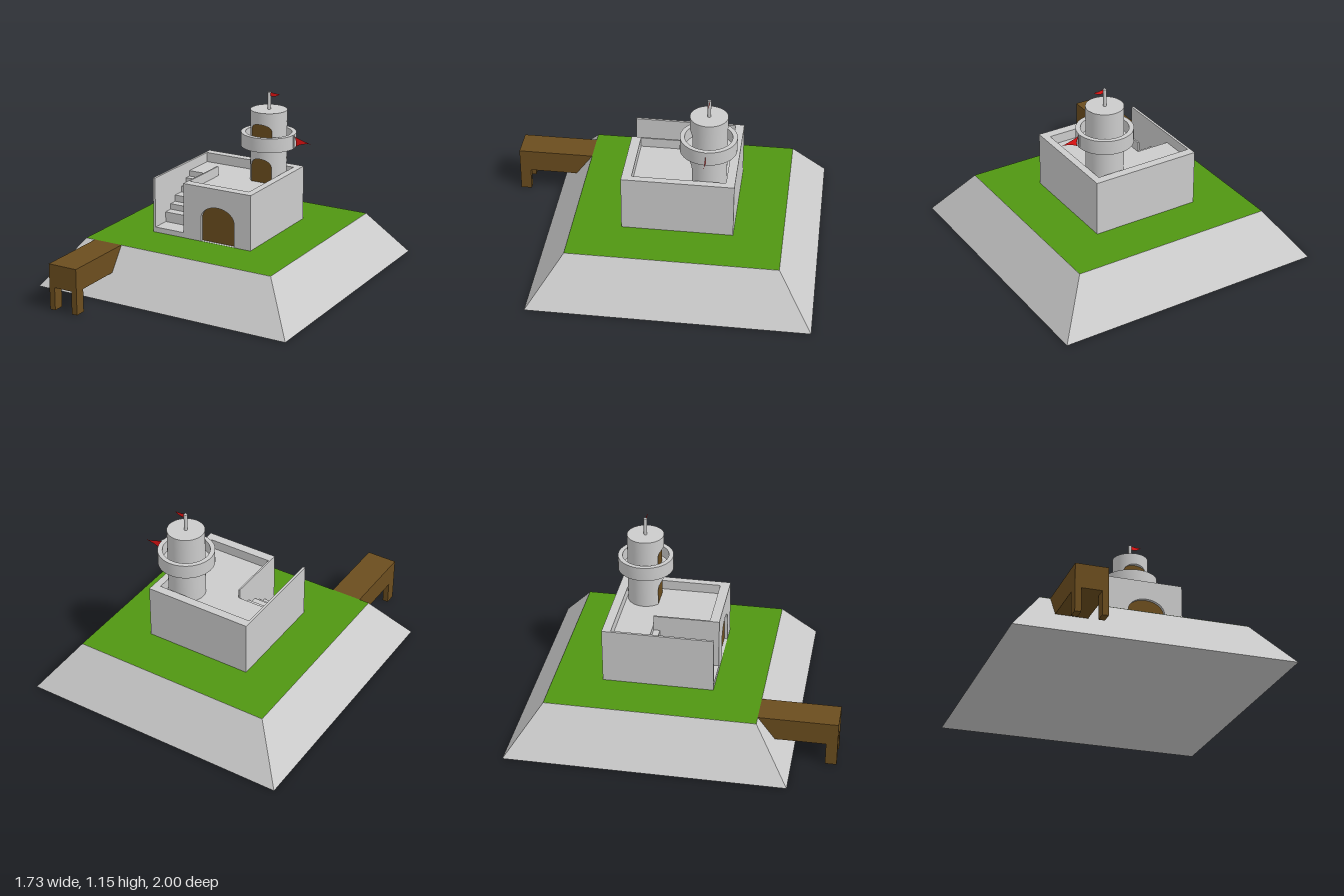
import * as THREE from 'three';
import { toCreasedNormals } from 'three/addons/utils/BufferGeometryUtils.js';
import { ParametricGeometry } from 'three/addons/geometries/ParametricGeometry.js';

const mat = (color) => new THREE.MeshStandardMaterial({ color, side: THREE.DoubleSide });
const stone = mat(0xcccccc);
const wood = mat(0x6b4d1e);
const grass = mat(0x509612);
const red = mat(0xf01414);

const GROUND = 0.29, FLOOR = 0.583, WALL_TOP = 0.645;

function add(parent, name, geometry, material = stone) {
  const mesh = new THREE.Mesh(geometry, material);
  mesh.name = name;
  parent.add(mesh);
  return mesh;
}

// Box given by its two extreme corners
function block(parent, name, [x0, x1], [y0, y1], [z0, z1], material) {
  const g = new THREE.BoxGeometry(x1 - x0, y1 - y0, z1 - z0);
  g.translate((x0 + x1) / 2, (y0 + y1) / 2, (z0 + z1) / 2);
  return add(parent, name, g, material);
}

// Arched outline: straight sides up to spring, then a half ellipse to the crown
function archPath(path, cx, half, bottom, spring, crown) {
  path.moveTo(cx - half, bottom);
  path.lineTo(cx + half, bottom);
  path.lineTo(cx + half, spring);
  path.absellipse(cx, spring, half, crown - spring, 0, Math.PI, false);
  path.lineTo(cx - half, bottom);
  return path;
}

function buildMound(root) {
  const c = -0.135;
  const mound = new THREE.CylinderGeometry(0.65 * Math.SQRT2, 0.865 * Math.SQRT2, GROUND, 4);
  mound.rotateY(Math.PI / 4).translate(0, GROUND / 2, c);
  add(root, 'mound', toCreasedNormals(mound, 0.3));
  const lawn = new THREE.PlaneGeometry(1.3, 1.3);
  lawn.rotateX(-Math.PI / 2).translate(0, GROUND + 0.001, c);
  add(root, 'lawn', lawn, grass);
}

function buildJetty(root) {
  const jetty = new THREE.Group();
  jetty.name = 'jetty';
  root.add(jetty);
  // Deck profile along z, cut to the slope of the mound
  const profile = new THREE.Shape(
    [[0.515, 0.291], [0.6225, 0.145], [1, 0.145], [1, 0.291]].map((p) => new THREE.Vector2(...p)));
  const deck = new THREE.ExtrudeGeometry(profile, { depth: 0.195, bevelEnabled: false });
  deck.rotateY(-Math.PI / 2).translate(-0.39, 0, 0);
  add(jetty, 'deck', deck, wood);
  for (const x of [-0.585, -0.427]) block(jetty, 'jettyLeg', [x, x + 0.037], [0, 0.145], [0.93, 1], wood);
}

function buildKeep(root) {
  const keep = new THREE.Group();
  keep.name = 'keep';
  root.add(keep);
  const full = [GROUND, WALL_TOP], low = [GROUND, FLOOR];
  block(keep, 'terrace', [-0.12, 0.3], low, [-0.425, 0.15]);
  block(keep, 'landing', [-0.335, -0.12], low, [-0.425, -0.2]);
  block(keep, 'stairWall', [-0.35, -0.335], full, [-0.48, 0.21]);
  block(keep, 'backWall', [-0.335, 0.345], full, [-0.48, -0.425]);
  block(keep, 'sideWall', [0.3, 0.345], full, [-0.425, 0.21]);
  block(keep, 'stairParapet', [-0.13, -0.12], full, [-0.2, 0.21]);

  // Front wall with arched gateway
  const wall = new THREE.Shape();
  wall.moveTo(-0.12, GROUND).lineTo(0.3, GROUND).lineTo(0.3, WALL_TOP).lineTo(-0.12, WALL_TOP);
  const gate = [0.1125, 0.1175, GROUND + 0.002, 0.44, 0.525];
  wall.holes.push(archPath(new THREE.Path(), ...gate));
  const front = new THREE.ExtrudeGeometry(wall, { depth: 0.06, bevelEnabled: false, curveSegments: 16 });
  add(keep, 'frontWall', front.translate(0, 0, 0.15));
  const door = new THREE.ShapeGeometry(archPath(new THREE.Shape(), ...gate), 16);
  add(keep, 'gateDoor', door.translate(0, 0, 0.19), wood);

  // Stairs: each entry is a tread height and the z of its front edge
  const steps = [[0.324, 0.21], [0.389, 0.09], [0.426, 0.03], [0.468, -0.025],
    [0.505, -0.1], [0.546, -0.16]];
  for (const [y, z] of steps) block(keep, 'step', [-0.335, -0.13], [GROUND, y], [-0.2, z]);
}

function buildTower(root) {
  const tower = new THREE.Group();
  tower.name = 'tower';
  tower.position.set(0.185, 0, -0.305);
  root.add(tower);
  const r = 0.115, half = 0.072, top = 1.04;
  const a = Math.asin(half / r), recess = Math.sqrt(r * r - half * half);

  // Round wall, open at the front where the doorways are
  const shell = new THREE.CylinderGeometry(r, r, top - FLOOR, 48, 1, true, a, 2 * Math.PI - 2 * a);
  add(tower, 'towerWall', shell.translate(0, (top + FLOOR) / 2, 0));
  add(tower, 'towerRoof', new THREE.CircleGeometry(r, 64).rotateX(-Math.PI / 2).translate(0, top, 0));

  // Two arched doorways with curved wall above each
  const doorways = [
    { bottom: FLOOR, spring: 0.69, crown: 0.743, above: 0.82 },
    { bottom: 0.82, spring: 0.925, crown: 0.965, above: top },
  ];
  for (const { bottom, spring, crown, above } of doorways) {
    const arch = (x) => spring + (crown - spring) * Math.sqrt(Math.max(0, 1 - (x / half) ** 2));
    const angle = (u) => (2 * u - 1) * a;
    const wall = new ParametricGeometry((u, v, p) => {
      const x = r * Math.sin(angle(u));
      p.set(x, THREE.MathUtils.lerp(arch(x), above, v), r * Math.cos(angle(u)));
    }, 16, 1);
    add(tower, 'wallOverDoor', wall);
    const soffit = new ParametricGeometry((u, v, p) => {
      const x = r * Math.sin(angle(u));
      p.set(x, arch(x), THREE.MathUtils.lerp(r * Math.cos(angle(u)), recess, v));
    }, 16, 1);
    add(tower, 'doorSoffit', soffit);
    const door = new THREE.ShapeGeometry(
      archPath(new THREE.Shape(), 0, half, bottom, spring, crown), 16);
    add(tower, 'towerDoor', door.translate(0, 0, recess), wood);
  }

  // Ring balcony with a raised rim
  const rim = [[0.09, 0.805], [0.174, 0.805], [0.174, 0.895], [0.145, 0.895], [0.145, 0.82], [0.09, 0.82]]
    .map((p) => new THREE.Vector2(...p));
  add(tower, 'balcony', toCreasedNormals(new THREE.LatheGeometry(rim, 48), 0.6));

  // Flagpole and the two pennants
  const pole = new THREE.CylinderGeometry(0.011, 0.011, 0.11, 16);
  add(tower, 'flagpole', pole.translate(0, top + 0.055, 0));
  const flag = new THREE.Shape();
  flag.moveTo(0.011, 1.124);
  flag.quadraticCurveTo(0.045, 1.118, 0.075, 1.145);
  flag.quadraticCurveTo(0.04, 1.142, 0.011, 1.15);
  add(tower, 'topFlag', new THREE.ShapeGeometry(flag), red);
  block(tower, 'pennantMount', [0.17, 0.18], [0.81, 0.895], [-0.005, 0.005]);
  const pennant = new THREE.Shape();
  pennant.moveTo(0.18, 0.888);
  pennant.quadraticCurveTo(0.23, 0.868, 0.295, 0.854);
  pennant.quadraticCurveTo(0.23, 0.85, 0.19, 0.822);
  pennant.quadraticCurveTo(0.2, 0.858, 0.18, 0.888);
  add(tower, 'sidePennant', new THREE.ShapeGeometry(pennant), red);
}

export function createModel() {
  const root = new THREE.Group();
  root.name = 'islandFort';
  buildMound(root);
  buildJetty(root);
  buildKeep(root);
  buildTower(root);
  return root;
}
